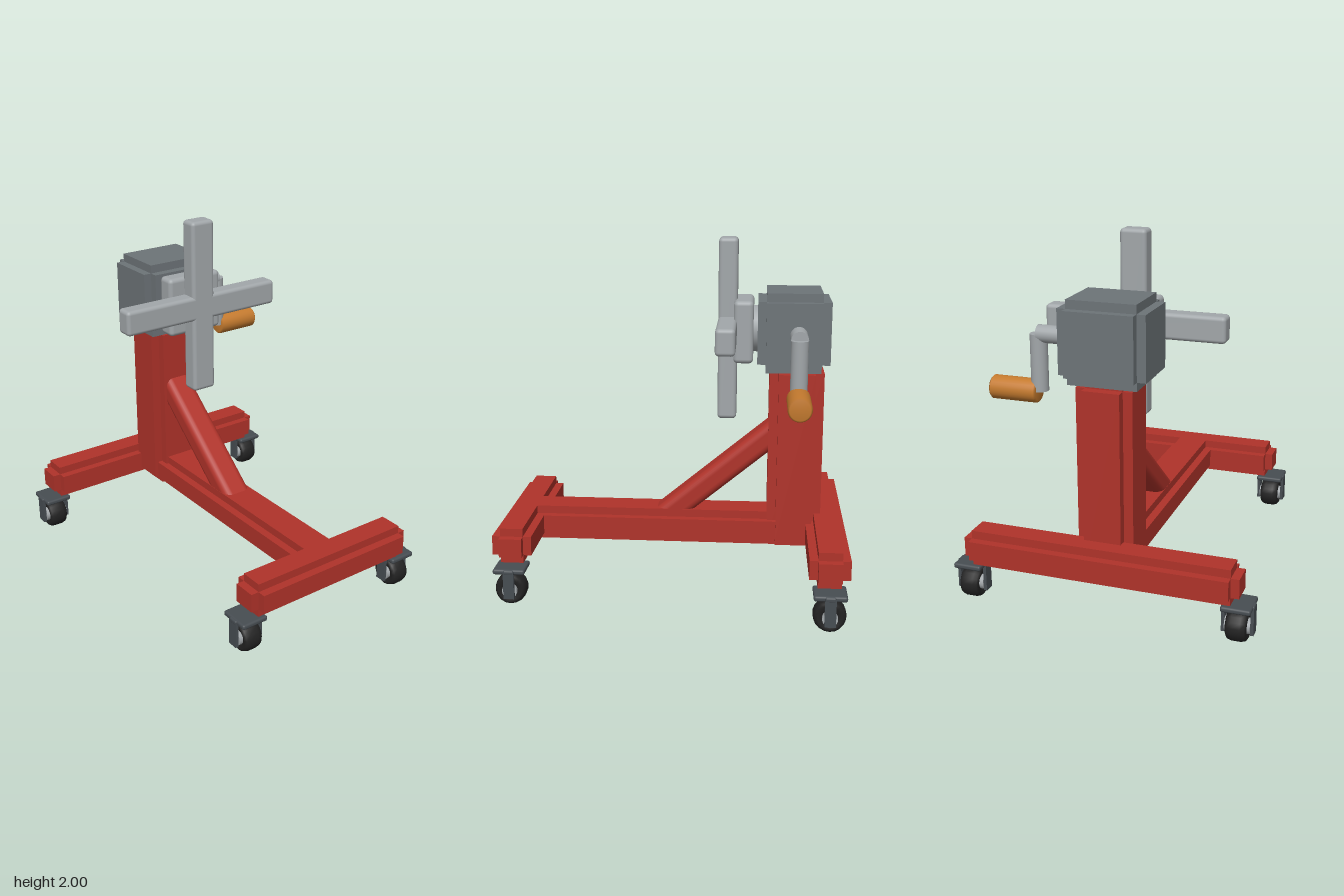
import * as THREE from 'three';
import { RoundedBoxGeometry } from 'three/addons/geometries/RoundedBoxGeometry.js';

const material = (name, color) => {
  const m = new THREE.MeshStandardMaterial({ color });
  m.name = name;
  return m;
};

export function createModel() {
  const red = material('red paint', 0xb0332a);
  const grey = material('gearbox grey', 0x6d7478);
  const steel = material('light steel', 0xa2a7aa);
  const orange = material('orange grip', 0xc47a2e);
  const dark = material('caster bracket', 0x474d52);
  const rubber = material('black rubber', 0x222222);

  const model = new THREE.Group();
  model.name = 'rotatingWorkStand';

  const add = (parent, name, geometry, mat, x, y, z) => {
    const mesh = new THREE.Mesh(geometry, mat);
    mesh.name = name;
    mesh.position.set(x, y, z);
    parent.add(mesh);
    return mesh;
  };
  const rounded = (w, h, d, r) => new RoundedBoxGeometry(w, h, d, 3, r);

  // Box with stepped edges: three boxes, each full length along one axis only
  const steppedBox = (name, mat, size, pos, inset) => {
    const group = new THREE.Group();
    group.name = name;
    for (let axis = 0; axis < 3; axis++) {
      const s = size.map((v, i) => (i === axis ? v : v - 2 * inset));
      add(group, name + 'Core', new THREE.BoxGeometry(...s), mat, 0, 0, 0);
    }
    group.position.set(...pos);
    model.add(group);
  };

  // Base frame and column
  steppedBox('rearCrossRail', red, [0.22, 0.2, 1.536], [-0.88, 0.32, 0], 0.046);
  steppedBox('frontCrossRail', red, [0.22, 0.2, 1.086], [0.875, 0.32, 0], 0.046);
  steppedBox('spineBeam', red, [1.75, 0.2, 0.27], [0, 0.32, 0], 0.046);
  steppedBox('column', red, [0.31, 1.08, 0.31], [-0.7, 0.76, 0], 0.052);

  // Diagonal brace, buried at both ends
  const brace = add(model, 'brace', rounded(0.98, 0.142, 0.175, 0.045), red, -0.28, 0.641, 0);
  brace.rotation.z = -Math.atan(0.83);

  // Gearbox, neck and mounting head
  const headY = 1.487;
  steppedBox('gearbox', grey, [0.405, 0.445, 0.474], [-0.677, headY, 0], 0.048);
  const neck = add(model, 'neck', new THREE.CylinderGeometry(0.132, 0.132, 0.12, 24), steel, -0.45, headY, 0);
  neck.rotation.z = Math.PI / 2;
  add(model, 'facePlate', rounded(0.11, 0.35, 0.352, 0.025), steel, -0.396, headY, 0);
  add(model, 'verticalArm', rounded(0.108, 1.03, 0.15, 0.022), steel, -0.305, 1.485, 0);
  add(model, 'horizontalArm', rounded(0.108, 0.147, 1.03, 0.022), steel, -0.305, headY, 0);

  // Crank
  const crankX = -0.7;
  const shaft = add(model, 'crankShaft', new THREE.CylinderGeometry(0.048, 0.048, 0.2, 24), steel, crankX, headY, -0.3);
  shaft.rotation.x = Math.PI / 2;
  add(model, 'crankArm', new THREE.CylinderGeometry(0.047, 0.047, 0.31, 24), steel, crankX, 1.332, -0.4);
  const gripProfile = [[0, -0.135], [0.055, -0.135], [0.065, -0.125], [0.065, 0.125], [0.055, 0.135], [0, 0.135]];
  const grip = add(model, 'crankGrip',
    new THREE.LatheGeometry(gripProfile.map(p => new THREE.Vector2(...p)), 28), orange, crankX, 1.172, -0.54);
  grip.rotation.x = Math.PI / 2;

  // Casters
  const tyreProfile = [[0.04, -0.045], [0.065, -0.057], [0.08, -0.048], [0.088, -0.025],
    [0.088, 0.025], [0.08, 0.048], [0.065, 0.057], [0.04, 0.045]];
  const tyreGeometry = new THREE.LatheGeometry(tyreProfile.map(p => new THREE.Vector2(...p)), 18);
  const addCaster = (x, z) => {
    const caster = new THREE.Group();
    caster.name = 'caster';
    caster.position.set(x, 0, z);
    model.add(caster);
    add(caster, 'casterPlate', rounded(0.178, 0.03, 0.16, 0.012), dark, 0, 0.205, 0);
    add(caster, 'forkTop', rounded(0.06, 0.028, 0.174, 0.01), dark, 0, 0.203, 0);
    for (const side of [-1, 1]) {
      add(caster, 'forkLeg', new THREE.BoxGeometry(0.06, 0.155, 0.018), dark, 0, 0.129, side * 0.077);
    }
    const tyre = add(caster, 'tyre', tyreGeometry, rubber, 0, 0.09, 0);
    const hub = add(caster, 'hub', new THREE.CylinderGeometry(0.042, 0.042, 0.136, 18), steel, 0, 0.09, 0);
    tyre.rotation.x = hub.rotation.x = Math.PI / 2;
  };
  for (const side of [-1, 1]) {
    addCaster(-0.88, side * 0.753);
    addCaster(0.873, side * 0.53);
  }

  return model;
}
